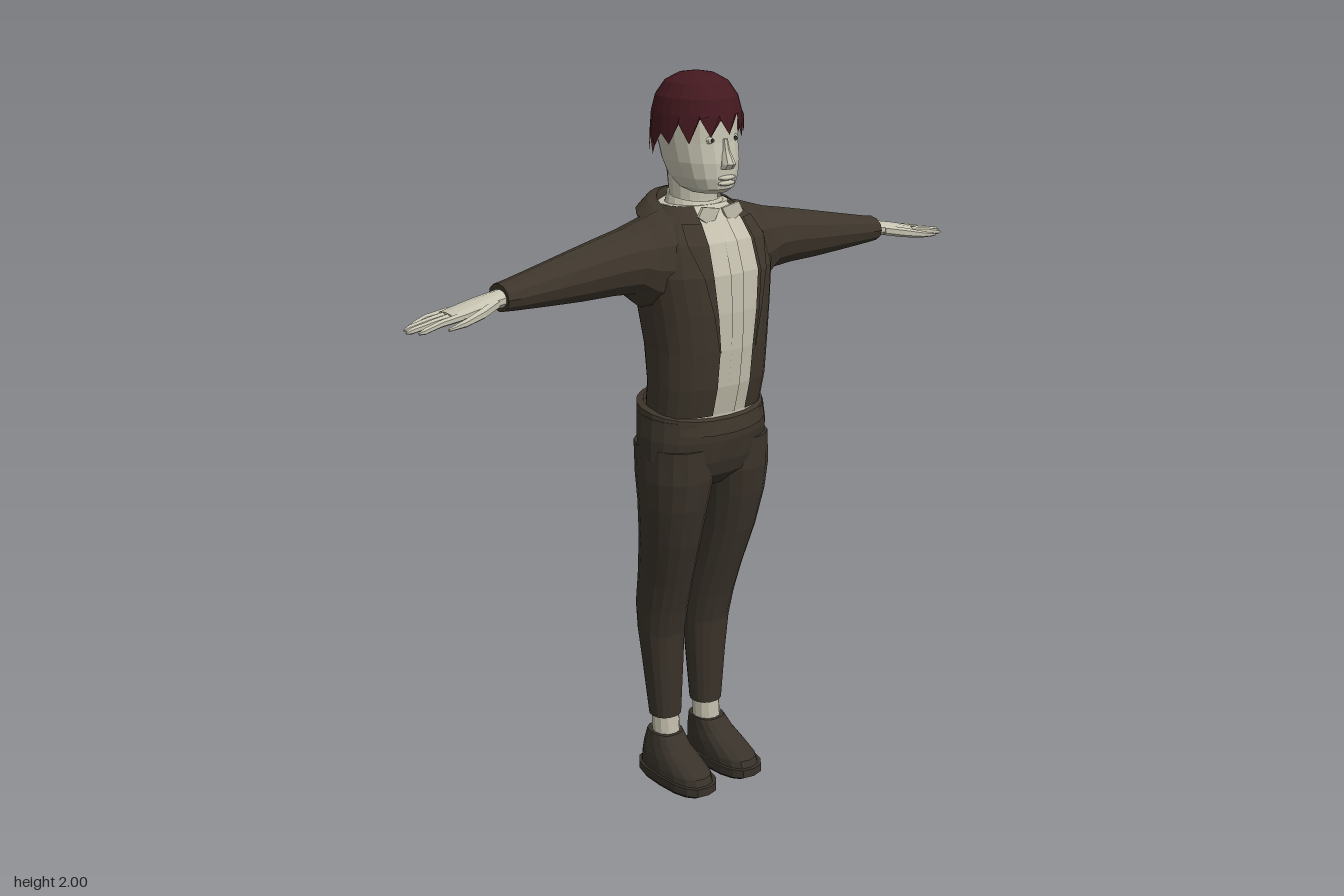
import * as THREE from 'three';

const mat = (name, color, side = THREE.FrontSide) => {
  const m = new THREE.MeshStandardMaterial({ color, side });
  m.name = name;
  return m;
};

// Faceted skin over cross-sections; closed rings may be capped
function loft(rows, { closed = true, caps = true } = {}) {
  const out = [];
  const tri = (a, b, c) => out.push(...a, ...b, ...c);
  const n = rows[0].length;
  const last = closed ? n : n - 1;
  for (let i = 0; i + 1 < rows.length; i++) {
    for (let j = 0; j < last; j++) {
      const k = (j + 1) % n, lo = rows[i], hi = rows[i + 1];
      tri(lo[j], lo[k], hi[k]);
      tri(lo[j], hi[k], hi[j]);
    }
  }
  if (closed && caps) {
    for (const [row, flip] of [[rows[0], true], [rows[rows.length - 1], false]]) {
      const c = [0, 1, 2].map(d => row.reduce((s, p) => s + p[d], 0) / n);
      row.forEach((p, j) => {
        const q = row[(j + 1) % n];
        flip ? tri(c, q, p) : tri(c, p, q);
      });
    }
  }
  const g = new THREE.BufferGeometry();
  g.setAttribute('position', new THREE.Float32BufferAttribute(out, 3));
  g.computeVertexNormals();
  return g;
}

// Mirror non-indexed geometry in x, keeping faces outward
function mirrored(src) {
  const g = src.clone().scale(-1, 1, 1), p = g.attributes.position;
  for (let i = 0; i < p.count; i += 3) {
    const b = [p.getX(i + 1), p.getY(i + 1), p.getZ(i + 1)];
    p.setXYZ(i + 1, p.getX(i + 2), p.getY(i + 2), p.getZ(i + 2));
    p.setXYZ(i + 2, ...b);
  }
  g.computeVertexNormals();
  return g;
}

const pw = (v, p) => Math.sign(v) * Math.abs(v) ** p;

// Horizontal ring [y, x0, x1, zFront, zBack], lowered at the front by tilt
function ringY([y, x0, x1, zf, zb], { n = 16, p = 1, a0 = 0, a1 = Math.PI * 2, open = false, tilt = 0, s = 1 } = {}) {
  return Array.from({ length: open ? n + 1 : n }, (_, j) => {
    const a = a0 + (a1 - a0) * j / n, c = Math.cos(a);
    return [(x0 + x1) / 2 + s * (x1 - x0) / 2 * pw(Math.sin(a), p), y - tilt * c,
      (zf + zb) / 2 + s * (zf - zb) / 2 * pw(c, p)];
  });
}

// Upright ring [x, yTop, yBottom, zBack, zFront] for parts running along x
const ringX = ([x, yt, yb, zb, zf], n = 12) => Array.from({ length: n }, (_, j) => {
  const a = Math.PI * 2 * j / n;
  return [x, (yt + yb) / 2 + (yt - yb) / 2 * Math.cos(a), (zb + zf) / 2 + (zf - zb) / 2 * Math.sin(a)];
});

export function createModel() {
  const model = new THREE.Group();
  const skin = mat('skin', 0xc6c3b1);
  const shirtCloth = mat('shirt cloth', 0xc4bfad, THREE.DoubleSide);
  const jacketCloth = mat('jacket cloth', 0x3e362c, THREE.DoubleSide);
  const trouserCloth = mat('trouser cloth', 0x3a332a);
  const leather = mat('shoe leather', 0x38322a);
  const hairColor = mat('hair', 0x43191f, THREE.DoubleSide);

  const add = (name, geometry, material) => {
    const m = new THREE.Mesh(geometry, material);
    m.name = name;
    model.add(m);
    return m;
  };
  const pair = (name, geometry, material) => {
    const g = geometry.index ? geometry.toNonIndexed() : geometry;
    add('left' + name, g, material);
    add('right' + name, mirrored(g), material);
  };

  // Torso: [y, half width, zFront, zBack, half width of jacket opening]
  const torso = [
    [1.12, 0.17, 0.125, -0.095, 0.055], [1.2, 0.172, 0.145, -0.087, 0.055],
    [1.3, 0.175, 0.156, -0.1, 0.055], [1.4, 0.185, 0.16, -0.122, 0.065],
    [1.5, 0.198, 0.155, -0.137, 0.075], [1.58, 0.185, 0.13, -0.141, 0.072],
    [1.63, 0.15, 0.095, -0.138, 0.066], [1.665, 0.1, 0.055, -0.125, 0.055],
  ];
  const P = 0.87;
  const box = ([y, r, zf, zb]) => [y, -r, r, zf, zb];
  const gap = ([, r, , , w], extra = 0) => Math.asin(((w + extra) / r) ** (1 / P));
  add('shirt', loft([[1.085, 0.165, 0.125, -0.09], ...torso].map(t => ringY(box(t), { n: 24, p: P, s: 0.965 }))), shirtCloth);
  add('shirtPlacket', loft(torso.slice(0, 7).map(t =>
    ringY(box(t), { n: 2, p: P, a0: -0.08, a1: 0.08, open: true, s: 0.985 })), { closed: false }), shirtCloth);
  add('jacketBody', loft(torso.map(t => {
    const a = gap(t);
    return ringY(box(t), { n: 24, p: P, a0: a, a1: Math.PI * 2 - a, open: true });
  }), { closed: false }), jacketCloth);

  // Lapels lie just outside the jacket front
  const lapelWidth = [0.004, 0.012, 0.025, 0.05, 0.045];
  pair('Lapel', loft(torso.slice(2, 7).map((t, i) =>
    ringY(box(t), { n: 3, p: P, a0: gap(t), a1: gap(t, lapelWidth[i]), open: true, s: 1.05 })), { closed: false }), jacketCloth);

  // Folded jacket collar, high at the nape and dropping to the chest
  const collarRows = [[1.64, 0.095, 0.06, -0.11], [1.662, 0.1, 0.065, -0.115], [1.657, 0.125, 0.09, -0.14],
    [1.63, 0.165, 0.122, -0.157], [1.615, 0.158, 0.115, -0.148]];
  add('jacketCollar', loft(collarRows.map(([y, r, f, b]) =>
    ringY([y, -r, r, f, b], { n: 18, a0: 0.52, a1: Math.PI * 2 - 0.52, open: true, tilt: 0.03 })), { closed: false }), jacketCloth);

  // Shirt collar with two pointed tips
  add('shirtCollar', loft([[1.635, 0.09, 0.075, -0.1], [1.685, 0.072, 0.045, -0.09]].map(([y, r, f, b]) =>
    ringY([y, -r, r, f, b], { n: 18, tilt: 0.012 })), { caps: false }), shirtCloth);
  const tip = new THREE.Shape([[0.004, 1.66], [0.03, 1.615], [0.075, 1.645], [0.06, 1.67]].map(p => new THREE.Vector2(...p)));
  pair('ShirtCollarTip', new THREE.ExtrudeGeometry(tip, { depth: 0.008, bevelEnabled: false }).translate(0, 0, 0.08), shirtCloth);

  // Sleeves
  pair('Sleeve', loft([
    [0.08, 1.665, 1.41, -0.13, 0.1], [0.15, 1.648, 1.39, -0.128, 0.1], [0.195, 1.634, 1.415, -0.117, 0.085],
    [0.235, 1.622, 1.45, -0.108, 0.076], [0.3, 1.61, 1.455, -0.095, 0.066], [0.4, 1.59, 1.457, -0.078, 0.056],
    [0.5, 1.57, 1.464, -0.06, 0.052], [0.6, 1.55, 1.472, -0.045, 0.05], [0.632, 1.545, 1.475, -0.04, 0.048],
  ].map(r => ringX(r))), jacketCloth);

  // Hands
  pair('Palm', loft([
    [0.61, 1.535, 1.485, -0.022, 0.036], [0.66, 1.528, 1.487, -0.022, 0.042],
    [0.71, 1.518, 1.482, -0.03, 0.052], [0.76, 1.506, 1.477, -0.034, 0.05], [0.785, 1.5, 1.478, -0.03, 0.046],
  ].map(r => ringX(r, 10))), skin);
  [[-0.025, -0.034, 0.86], [-0.004, -0.008, 0.89], [0.017, 0.018, 0.9], [0.038, 0.042, 0.88]].forEach(([z0, z1, end], i) => {
    pair('Finger' + (i + 1), loft([[0.76, 1.491, z0, 0.011], [0.82, 1.484, (z0 + z1) / 2, 0.009], [end - 0.015, 1.474, z1, 0.008],
      [end, 1.471, z1, 0.003]].map(([x, y, z, r]) => ringX([x, y + r, y - r, z - r, z + r], 6))), skin);
  });
  pair('Thumb', loft([[0.655, 1.505, 0.03, 0.014], [0.71, 1.495, 0.055, 0.014], [0.77, 1.484, 0.071, 0.01], [0.82, 1.477, 0.077, 0.004]]
    .map(([x, y, z, r]) => ringX([x, y + r, y - r, z - r, z + r], 6))), skin);

  // Trousers: pelvis, waistband and legs
  add('trouserSeat', loft([
    [0.915, 0.07, 0.07, -0.06], [0.96, 0.17, 0.118, -0.098], [1, 0.194, 0.13, -0.11],
    [1.06, 0.194, 0.138, -0.118], [1.115, 0.187, 0.136, -0.124],
  ].map(r => ringY(box(r), { n: 22, p: 0.9, tilt: 0.01 }))), trouserCloth);
  add('waistband', loft([[1.09, 0.188, 0.142, -0.127], [1.13, 0.184, 0.136, -0.132], [1.136, 0.17, 0.125, -0.11]]
    .map(r => ringY(box(r), { n: 22, p: 0.9, tilt: 0.022 })), { caps: false }), jacketCloth);
  pair('TrouserLeg', loft([
    [0.19, 0.03, 0.12, -0.018, -0.108], [0.35, 0.02, 0.136, -0.012, -0.124], [0.45, 0.016, 0.147, -0.006, -0.134],
    [0.53, 0.016, 0.152, 0.014, -0.139], [0.62, 0.02, 0.157, 0.043, -0.125], [0.75, 0.022, 0.175, 0.085, -0.1],
    [0.86, 0.014, 0.189, 0.112, -0.093], [0.94, 0, 0.195, 0.125, -0.102], [1.03, 0, 0.192, 0.125, -0.11],
  ].map(r => ringY(r, { n: 16, p: 0.93 }))), trouserCloth);

  // Socks and shoes
  pair('Sock', loft([[0.11, 0.036, 0.115, -0.015, -0.1], [0.21, 0.037, 0.113, -0.022, -0.102]].map(r => ringY(r, { n: 12 }))), shirtCloth);
  pair('ShoeUpper', loft([
    [0.025, 0.022, 0.148, 0.138, -0.132], [0.055, 0.024, 0.145, 0.125, -0.13], [0.08, 0.026, 0.14, 0.08, -0.127],
    [0.105, 0.03, 0.132, 0.03, -0.122], [0.138, 0.032, 0.122, -0.008, -0.112],
  ].map(r => ringY(r, { n: 16, p: 0.8 }))), leather);
  pair('ShoeSole', loft([[0, 0.026, 0.144, 0.125, -0.13], [0.012, 0.016, 0.153, 0.144, -0.138], [0.036, 0.016, 0.153, 0.144, -0.138]]
    .map(r => ringY(r, { n: 16, p: 0.75 }))), leather);

  // Neck and head
  add('neck', loft([[1.6, 0.068, 0.035, -0.09], [1.68, 0.066, 0.036, -0.085], [1.76, 0.07, 0.04, -0.095]].map(r => ringY(box(r)))), skin);
  add('head', loft([
    [1.7, 0.045, 0.09, -0.02], [1.712, 0.065, 0.106, -0.06], [1.74, 0.08, 0.112, -0.085], [1.78, 0.09, 0.112, -0.105],
    [1.83, 0.094, 0.104, -0.12], [1.89, 0.095, 0.1, -0.122], [1.94, 0.08, 0.08, -0.1], [1.97, 0.045, 0.04, -0.06],
  ].map(r => ringY(box(r), { n: 18, p: 0.92 }))), skin);
  add('nose', loft([[1.765, 0.02, 0.125, 0.09], [1.778, 0.019, 0.136, 0.09], [1.81, 0.011, 0.117, 0.09], [1.84, 0.008, 0.108, 0.09]]
    .map(r => ringY(box(r), { n: 8 }))), skin);
  [[1.742, 0.12], [1.728, 0.118]].forEach(([y, z], i) =>
    add(i ? 'lowerLip' : 'upperLip', new THREE.SphereGeometry(1, 8, 5).scale(0.03, 0.007, 0.012).translate(0, y, z - 0.01), skin));
  pair('Eye', new THREE.SphereGeometry(1, 8, 6).scale(0.016, 0.01, 0.008).translate(0.038, 1.838, 0.09), skin);
  pair('Pupil', new THREE.CylinderGeometry(0.005, 0.005, 0.004, 8).rotateX(Math.PI / 2).translate(0.038, 1.838, 0.098), leather);

  // Hair: dome with a jagged fringe, longer at the sides and back
  const dome = [[1.9, 1], [1.94, 0.91], [1.975, 0.7], [1.994, 0.4], [2, 0.08]];
  const hairRing = (y, s) => ringY([y, -0.112, 0.112, 0.113, -0.135], { n: 28, s });
  const rim = hairRing(1.85, 1.05).map(([x, y, z], j) => {
    const c = Math.cos(Math.PI * 2 * j / 28);
    return [x, y - 0.012 + 0.035 * c + (j % 2 ? 0.022 : -0.022) + 0.008 * Math.sin(j * 2.3), z];
  });
  add('hair', loft([rim, ...dome.map(([y, s]) => hairRing(y, s))], { caps: false }), hairColor);
  add('hairCrown', loft([hairRing(1.985, 0.3), hairRing(2, 0.09)]), hairColor);

  return model;
}
